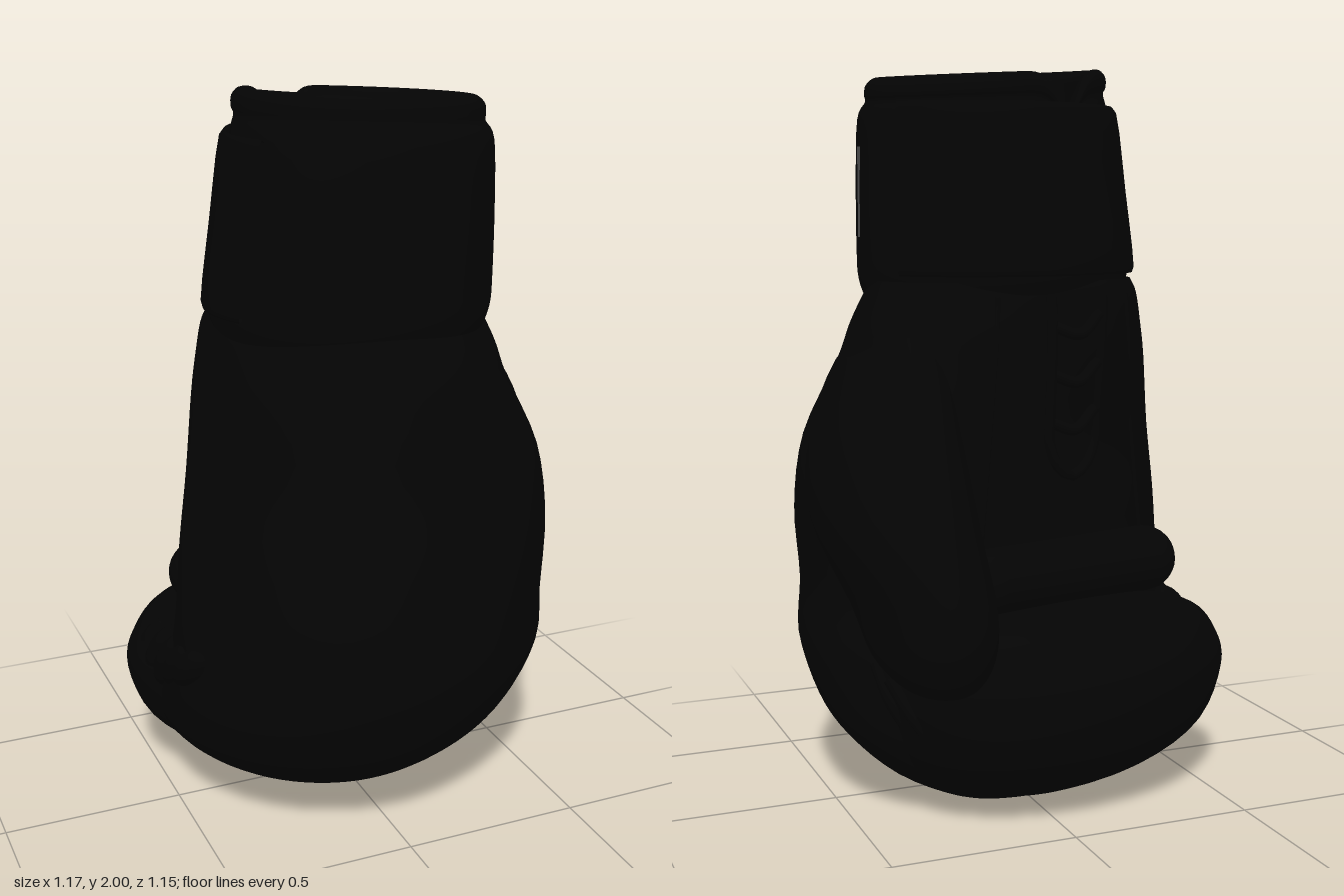
import * as THREE from 'three';

const material = (name, color) => {
  const m = new THREE.MeshStandardMaterial({ color, side: THREE.DoubleSide });
  m.name = name;
  return m;
};
const leather = material('black leather', 0x040404);
const fabric = material('grey fabric', 0x484848);

const spow = (v, p) => Math.sign(v) * Math.abs(v) ** p;

// Point on a section [y, x0, x1, z0, z1, shear]: an egg with its own curve front and back
function sectionPoint([y, x0, x1, z0, z1, k], angle, { n = 2, front = 2, frac = 0.5, skew = 0 }) {
  const zc = z0 + (z1 - z0) * frac;
  const c = Math.cos(angle), s = Math.sin(angle);
  const p = 2 / (s < 0 ? n : front);
  const u = spow(c, p), v = spow(s, p);
  const x = (x0 + x1) / 2 + u * (x1 - x0) / 2;
  const slant = k * Math.max(0, -v) + skew * Math.max(0, v);
  return [x, y, zc + v * (v < 0 ? zc - z0 : z1 - zc) - slant * x];
}

// Spline interpolation between sections
function refine(sections, steps) {
  const out = [];
  const at = i => sections[Math.min(Math.max(i, 0), sections.length - 1)];
  for (let i = 0; i < sections.length - 1; i++) {
    for (let j = 0; j < steps; j++) {
      const t = j / steps;
      out.push(at(i).map((b, q) => {
        const a = at(i - 1)[q], c = at(i + 1)[q], d = at(i + 2)[q];
        return b + 0.5 * t * (c - a + t * (2 * a - 5 * b + 4 * c - d + t * (3 * (b - c) + d - a)));
      }));
    }
  }
  out.push(sections[sections.length - 1]);
  return out;
}

function named(name, geometry, mat = leather) {
  const m = new THREE.Mesh(geometry, mat);
  m.name = name;
  return m;
}

// Skin over stacked sections, all round or over part of a turn
function loft(name, sections, o = {}) {
  const { steps = 4, seg = 72, from = 0, to = Math.PI * 2, warp } = o;
  const rows = refine(sections.map(s => [...s, 0].slice(0, 6)), steps);
  const closed = to - from > 6.28, cols = closed ? seg : seg + 1;
  const pos = [], idx = [];
  rows.forEach((row, i) => {
    for (let j = 0; j < cols; j++) {
      const p = sectionPoint(row, from + (to - from) * j / seg, o);
      pos.push(...(warp ? warp(...p) : p));
      if (i === rows.length - 1 || j === seg) continue;
      const a = i * cols + j, b = i * cols + (j + 1) % cols;
      idx.push(a, a + cols, b, b, a + cols, b + cols);
    }
  });
  const g = new THREE.BufferGeometry();
  g.setAttribute('position', new THREE.Float32BufferAttribute(pos, 3));
  g.setIndex(idx);
  g.computeVertexNormals();
  return named(name, g);
}

function tube(name, pts, r) {
  const curve = new THREE.CatmullRomCurve3(pts.map(p => new THREE.Vector3(...p)));
  return named(name, new THREE.TubeGeometry(curve, 32, r, 8));
}

const BODY = [
  [0, 0.03, 0.05, -0.1, -0.08, 0], [0.006, -0.07, 0.14, -0.17, 0, 0],
  [0.03, -0.21, 0.23, -0.25, 0.11, 0], [0.1, -0.39, 0.37, -0.32, 0.28, 0],
  [0.2, -0.5, 0.48, -0.34, 0.42, 0.05], [0.3, -0.53, 0.54, -0.32, 0.5, 0.1],
  [0.45, -0.52, 0.575, -0.26, 0.56, 0.2], [0.6, -0.51, 0.56, -0.21, 0.575, 0.22],
  [0.8, -0.49, 0.575, -0.21, 0.555, 0.22], [1, -0.46, 0.55, -0.21, 0.52, 0.2],
  [1.2, -0.43, 0.455, -0.22, 0.485, 0.1], [1.3, -0.41, 0.42, -0.22, 0.46, 0.05],
  [1.38, -0.39, 0.385, -0.21, 0.415, 0], [1.42, -0.37, 0.365, -0.2, 0.385, 0],
];
const BODY_SHAPE = { n: 2.3, front: 1.9, frac: 0.37, skew: 0.06 };

// Depth of the palm surface at x, y
function palmZ(x, y) {
  const i = Math.max(1, BODY.findIndex(s => s[0] >= y));
  const a = BODY[i - 1], b = BODY[i], t = (y - a[0]) / (b[0] - a[0]);
  const s = a.map((v, q) => v + (b[q] - v) * t);
  const u = (x - (s[1] + s[2]) / 2) / ((s[2] - s[1]) / 2);
  const ang = -Math.acos(spow(u, BODY_SHAPE.n / 2));
  return sectionPoint(s, ang, BODY_SHAPE)[2];
}
const onPalm = (x, y, lift = 0) => [x, y, palmZ(x, y) - lift];

// Rim slopes to the thumb side and dips at the lace opening
function rimWarp(x, y, z) {
  const t = Math.max(0, y - 1.5) / 0.5;
  const notch = z < 0 ? 0.11 * Math.exp(-(((x + 0.1) / 0.05) ** 2)) : 0;
  const top = Math.max(0, (y - 1.85) / 0.15);
  return [x, y - t * Math.max(0, 0.026 + 0.06 * x - 0.05 * z) - top * notch, z];
}

export function createModel() {
  const glove = new THREE.Group();
  glove.name = 'boxingGlove';

  // Padded hand
  glove.add(loft('handBody', BODY, BODY_SHAPE));

  // Thumb, flowing into the side of the hand
  glove.add(loft('thumb', [
    [0.39, 0.29, 0.35, -0.43, -0.38], [0.41, 0.23, 0.42, -0.5, -0.27],
    [0.48, 0.175, 0.48, -0.55, -0.14], [0.6, 0.16, 0.515, -0.572, -0.03],
    [0.8, 0.17, 0.58, -0.525, 0.16], [1, 0.18, 0.555, -0.415, 0.25],
    [1.2, 0.19, 0.46, -0.25, 0.25], [1.28, 0.26, 0.39, -0.17, 0.1],
  ], { n: 2, frac: 0.58 }));

  // Curled finger padding
  glove.add(loft('fingerPad', [
    [0.015, -0.06, 0.1, -0.2, -0.08, 0], [0.035, -0.2, 0.19, -0.27, 0, 0],
    [0.1, -0.4, 0.33, -0.385, 0.06, 0.05], [0.2, -0.53, 0.4, -0.475, 0.1, 0.08],
    [0.34, -0.585, 0.435, -0.512, 0.12, 0.1], [0.43, -0.565, 0.425, -0.5, 0.1, 0.1],
    [0.51, -0.49, 0.37, -0.44, 0, 0.1], [0.55, -0.34, 0.22, -0.35, -0.1, 0.1],
    [0.56, -0.08, -0.02, -0.25, -0.2, 0],
  ], { n: 2.05, frac: 0.56 }));

  // Grip bar across the palm
  const bar = named('gripBar', new THREE.CapsuleGeometry(0.092, 0.52, 8, 24));
  bar.rotation.set(0, Math.atan2(0.13, 0.58), Math.PI / 2, 'YXZ');
  bar.position.set(-0.12, 0.63, -0.18);
  glove.add(bar);

  // Puckered folds on the little finger side
  for (let i = 0; i < 5; i++) {
    const fold = named('sideFold', new THREE.SphereGeometry(1, 20, 14));
    fold.scale.set(0.08 - i * 0.004, 0.14, 0.052);
    fold.position.set(-0.488 + i * 0.004, 0.37 + i * 0.022, -0.16 + i * 0.07);
    fold.rotation.x = 0.3 + i * 0.15;
    glove.add(fold);
  }

  // Gathered creases under the thumb
  for (let i = 0; i < 4; i++) {
    const z = -0.1 - i * 0.06;
    glove.add(tube('thumbCrease', [
      [0.49 - i * 0.02, 0.5 - i * 0.03, z], [0.49 - i * 0.035, 0.38 - i * 0.02, z - 0.04],
      [0.42 - i * 0.03, 0.24, z - 0.05],
    ], 0.018));
  }

  // Cuff with rolled rim and tapering lining
  glove.add(loft('cuff', [
    [1.36, -0.37, 0.36, -0.2, 0.385], [1.42, -0.385, 0.38, -0.22, 0.405],
    [1.5, -0.383, 0.385, -0.225, 0.408], [1.7, -0.35, 0.385, -0.225, 0.405],
    [1.88, -0.315, 0.38, -0.225, 0.395], [1.93, -0.298, 0.362, -0.222, 0.365],
    [1.95, -0.302, 0.366, -0.232, 0.362], [1.98, -0.298, 0.362, -0.235, 0.358],
    [2, -0.275, 0.335, -0.215, 0.335], [1.98, -0.25, 0.31, -0.185, 0.31],
    [1.93, -0.25, 0.305, -0.175, 0.305], [1.7, -0.26, 0.3, -0.17, 0.3],
    [1.4, -0.25, 0.28, -0.14, 0.3], [1.1, -0.21, 0.23, -0.09, 0.3],
    [0.75, -0.2, 0.22, -0.08, 0.29], [0.64, -0.12, 0.14, 0, 0.21],
    [0.62, 0, 0.02, 0.09, 0.11],
  ], { seg: 128, frac: 0.48, warp: rimWarp }));

  // Fabric patch inside the lining
  const patch = new THREE.Shape([[-0.13, 0], [-0.05, -0.21], [0, -0.21], [-0.03, 0.07]]
    .map(p => new THREE.Vector2(...p)));
  const liner = named('liningPatch', new THREE.ShapeGeometry(patch), fabric);
  liner.rotation.x = -Math.PI / 2;
  liner.position.y = 0.78;
  glove.add(liner);

  // Narrow fabric edge on the thumb side of the cuff, turned to the back
  const edge = named('fabricEdge', new THREE.BoxGeometry(0.004, 0.24, 0.012), fabric);
  edge.position.set(0.384, 1.655, 0.085);
  edge.rotation.y = 0.75;
  glove.add(edge);

  // Closing strap round the back of the wrist
  glove.add(loft('wristStrap', [
    [1.45, -0.385, 0.37, -0.21, 0.395], [1.45, -0.402, 0.39, -0.243, 0.41],
    [1.66, -0.372, 0.393, -0.247, 0.413], [1.87, -0.338, 0.39, -0.25, 0.41],
    [1.87, -0.31, 0.37, -0.21, 0.38],
  ], { from: 2.7, to: 5.75, steps: 3, frac: 0.48 }));

  // Lace placket and laces
  const placket = [];
  for (let i = 0; i <= 6; i++) placket.push(onPalm(-0.21, 1.38 - i * 0.065));
  placket.push(onPalm(-0.18, 0.92), onPalm(-0.13, 0.89), onPalm(-0.08, 0.92));
  for (let i = 6; i >= 0; i--) placket.push(onPalm(-0.05, 1.38 - i * 0.065));
  glove.add(tube('lacePlacket', placket, 0.016));
  for (let i = 0; i < 3; i++) {
    const y = 1.02 + i * 0.13;
    glove.add(tube('lace', [
      onPalm(-0.2, y + 0.05), onPalm(-0.13, y, 0.016), onPalm(-0.06, y + 0.02),
    ], 0.016));
  }

  // Seams down both edges of the palm
  for (const [x0, x1] of [[-0.3, -0.4], [0.1, 0.17]]) {
    const seam = [];
    for (let i = 0; i <= 6; i++) seam.push(onPalm(x0 + (x1 - x0) * i / 6, 1.38 - i * 0.12));
    glove.add(tube('palmSeam', seam, 0.008));
  }
  return glove;
}
